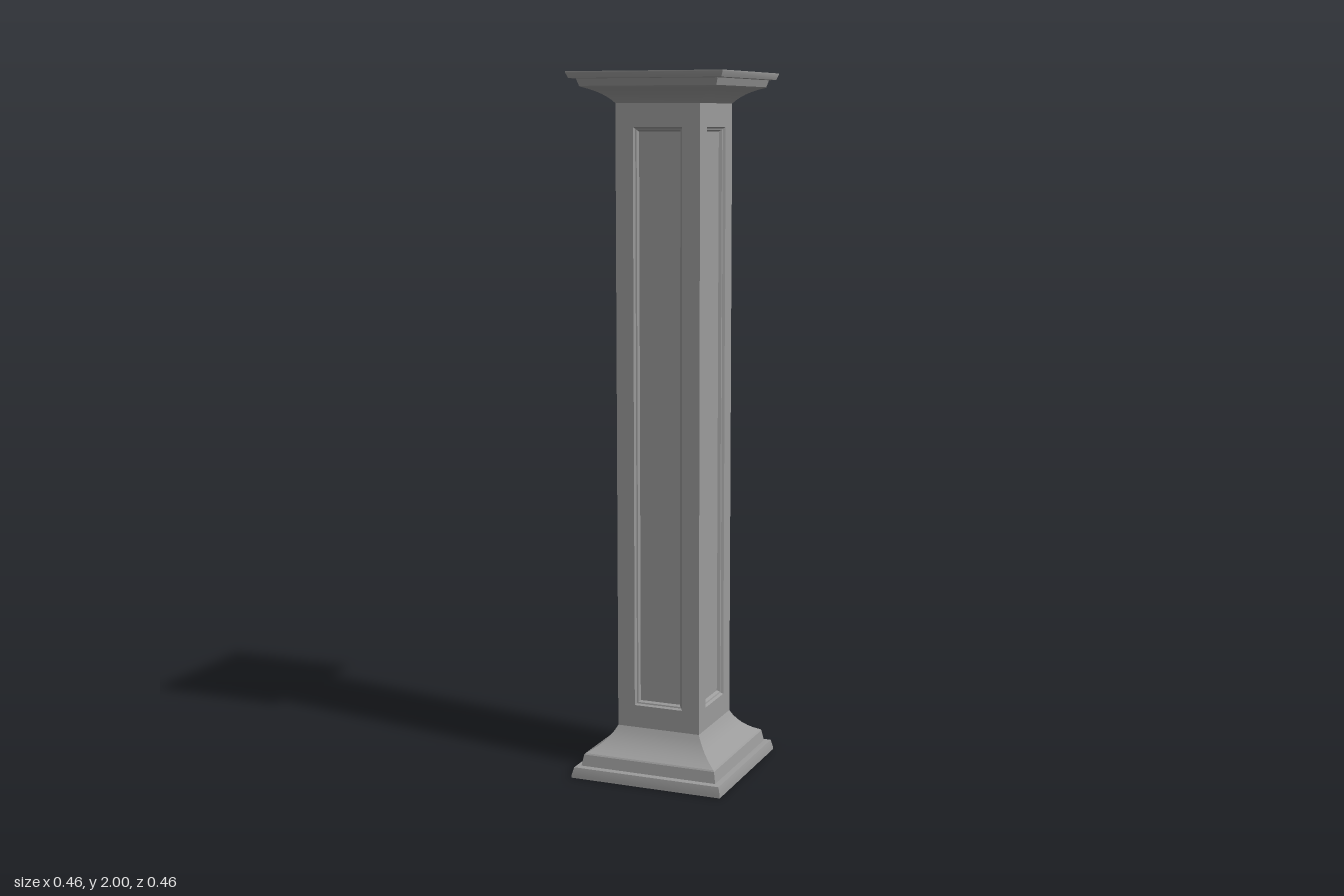
import * as THREE from 'three';
import { toCreasedNormals } from 'three/addons/utils/BufferGeometryUtils.js';

const material = new THREE.MeshStandardMaterial({ color: 0x9b9b9b });
const HALF = 0.125, SHAFT_BOTTOM = 0.14, SHAFT_TOP = 1.915;

function addMesh(parent, name, geometry) {
  const mesh = new THREE.Mesh(geometry, material);
  mesh.name = name;
  parent.add(mesh);
}

// Square moulding swept around the axis from [half width, height] points, bottom to top
function squareMoulding(profile) {
  const points = profile.map(([r, y]) => new THREE.Vector2(r * Math.SQRT2, y));
  return toCreasedNormals(new THREE.LatheGeometry(points, 4, Math.PI / 4), 0.4);
}

// Plinth, step and shallow cove, rising from the outer end to the shaft
function mouldingProfile() {
  const points = [[0, 0], [0.228, 0], [0.228, 0.006], [0.222, 0.03], [0.206, 0.032], [0.2, 0.064]];
  const steps = 6, start = 0.45, end = 1.15;
  for (let i = 0; i <= steps; i++) {
    const a = start + (end - start) * i / steps;
    const u = (Math.sin(a) - Math.sin(start)) / (Math.sin(end) - Math.sin(start));
    const v = (Math.cos(start) - Math.cos(a)) / (Math.cos(start) - Math.cos(end));
    points.push([0.197 + (HALF - 0.197) * u, 0.068 + (SHAFT_BOTTOM - 0.068) * v]);
  }
  points.push([0, SHAFT_BOTTOM]);
  return points;
}

function rectangle(target, x, y0, y1) {
  target.moveTo(-x, y0);
  target.lineTo(x, y0);
  target.lineTo(x, y1);
  target.lineTo(-x, y1);
  target.closePath();
  return target;
}

// Mitred border through nested rectangles [half width, bottom, top, z], outermost first
function mitredFrame(rings) {
  const corners = ([x, y0, y1, z]) => [[-x, y0, z], [x, y0, z], [x, y1, z], [-x, y1, z]];
  const positions = [];
  for (let k = 0; k < rings.length - 1; k++) {
    const a = corners(rings[k]), b = corners(rings[k + 1]);
    for (let i = 0; i < 4; i++) {
      const j = (i + 1) % 4;
      positions.push(...a[i], ...a[j], ...b[j], ...a[i], ...b[j], ...b[i]);
    }
  }
  const geometry = new THREE.BufferGeometry();
  geometry.setAttribute('position', new THREE.Float32BufferAttribute(positions, 3));
  geometry.computeVertexNormals();
  return geometry;
}

export function createModel() {
  const column = new THREE.Group();
  column.name = 'column';

  // Base, and the same moulding inverted and flattened as the capital
  const profile = mouldingProfile();
  addMesh(column, 'base', squareMoulding(profile));
  const squash = (2 - SHAFT_TOP) / SHAFT_BOTTOM;
  const capital = profile.map(([r, y]) => [r, 2 - y * squash]).reverse();
  addMesh(column, 'capital', squareMoulding(capital));

  // Stepped panel frame, as [inset, depth] from the shaft face inwards
  const rings = [[0, 0], [0.004, 0.007], [0.008, 0.008], [0.012, 0.016]].map(
    ([inset, depth]) => [0.073 - inset, 0.205 + inset, 1.85 - inset, HALF - depth]);
  const outer = rings[0], inner = rings[3];
  const face = rectangle(new THREE.Shape(), HALF, SHAFT_BOTTOM, SHAFT_TOP);
  face.holes.push(rectangle(new THREE.Path(), outer[0], outer[1], outer[2]));
  const faceGeometry = new THREE.ShapeGeometry(face).translate(0, 0, HALF);
  const frameGeometry = mitredFrame(rings);
  const panelShape = rectangle(new THREE.Shape(), inner[0], inner[1], inner[2]);
  const panelGeometry = new THREE.ShapeGeometry(panelShape).translate(0, 0, inner[3]);

  // Four shaft sides, each with a recessed panel
  for (let i = 0; i < 4; i++) {
    const side = new THREE.Group();
    side.name = 'shaftSide';
    side.rotation.y = i * Math.PI / 2;
    addMesh(side, 'shaftFace', faceGeometry);
    addMesh(side, 'panelFrame', frameGeometry);
    addMesh(side, 'panel', panelGeometry);
    column.add(side);
  }
  return column;
}
